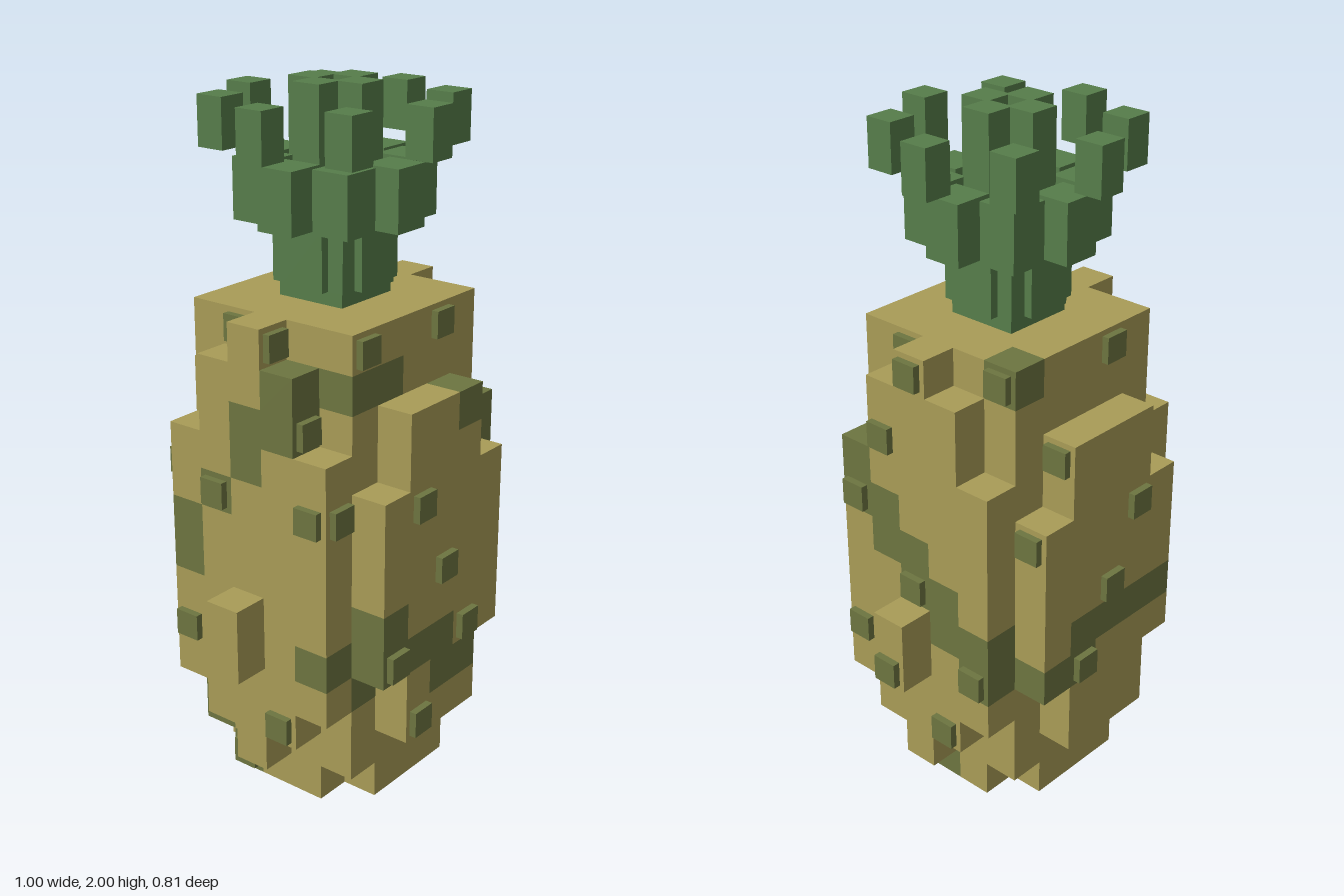
import * as THREE from 'three';
import { mergeGeometries } from 'three/addons/utils/BufferGeometryUtils.js';

const U = 1.418 / 13;            // block size
const CX = -0.01;                // fruit axis
const N = 7, H = 13;

// Rounded block fruit with a short handle on each side
function filled(i, j, k) {
  const a = Math.abs(i - 3), c = Math.abs(k - 3);
  if (j < 0 || j >= H) return false;
  if (a === 4) return c === 0 && (j === 4 || j === 5);
  if (a > 4 || c > 3) return false;
  if (a <= 2 && c <= 2) return !(j === 0 && a === 2 && c === 2);
  if (a === 3) {
    if (c === 0) return j >= 1;
    if (c === 1) return j >= 2 && j <= 11;
    return c === 2 && j >= 3 && j <= 9;
  }
  return a <= 1 ? j >= 2 && j <= 10 : j >= 4 && j <= 8;
}

// Dark blocks [column, row, depth] that form the slanting bands
const DARK = new Set([
  // upper band: front, left side, back, right side
  [0, 11, 4], [0, 10, 4], [1, 11, 5], [2, 11, 5], [4, 10, 6], [5, 9, 5], [6, 9, 5],
  [6, 8, 5], [6, 8, 4], [6, 7, 4], [6, 7, 3], [6, 6, 3], [6, 6, 2], [6, 5, 2], [6, 5, 1], [6, 4, 1],
  [5, 4, 0], [4, 4, 0], [4, 5, 0], [3, 5, 0], [2, 5, 0], [1, 5, 0],
  [0, 6, 1], [0, 7, 1], [0, 8, 2], [0, 9, 3], [0, 10, 3], [5, 12, 1],
  // lower band
  [1, 5, 6], [0, 4, 5], [1, 4, 6], [2, 4, 6], [3, 4, 6], [1, 3, 5], [3, 3, 6], [4, 3, 6],
  [5, 2, 5], [5, 1, 5], [5, 1, 4], [5, 0, 4], [5, 0, 3], [1, 1, 1], [1, 2, 1], [1, 0, 2],
].map(String));

const DIRS = [[1, 0, 0], [-1, 0, 0], [0, 1, 0], [0, -1, 0], [0, 0, 1], [0, 0, -1]];
const cellCentre = (i, j, k) => new THREE.Vector3(CX + (i - 3) * U, (j + 0.5) * U, (k - 3) * U);

// Only the exposed block faces, sorted into skin and bands
function fruitSkins() {
  const skin = [], bands = [];
  for (let i = -1; i <= N; i++) for (let j = 0; j < H; j++) for (let k = 0; k < N; k++) {
    if (!filled(i, j, k)) continue;
    const list = DARK.has(String([i, j, k])) ? bands : skin;
    for (const [dx, dy, dz] of DIRS) {
      if (filled(i + dx, j + dy, k + dz)) continue;
      const face = new THREE.PlaneGeometry(U, U);
      if (dy) face.rotateX(-dy * Math.PI / 2);
      else face.rotateY(dz ? (dz < 0 ? Math.PI : 0) : dx * Math.PI / 2);
      const p = cellCentre(i, j, k);
      face.translate(p.x + dx * U / 2, p.y + dy * U / 2, p.z + dz * U / 2);
      list.push(face);
    }
  }
  return [mergeGeometries(skin), mergeGeometries(bands)];
}

// Small square studs: [column or depth, row] on each side
const STUDS = [
  { dir: [0, 0, 1], at: [[0, 12], [1, 12], [4, 12], [0, 10], [0, 8], [2, 8], [3, 6], [1, 4], [4, 4], [2, 2]] },
  { dir: [0, 0, -1], at: [[2, 12], [2, 8], [3, 6], [4, 4]] },
  { dir: [1, 0, 0], at: [[4, 12], [3, 12], [1, 12], [6, 10], [5, 10], [4, 10], [0, 10], [6, 8], [5, 8], [0, 8],
    [3, 6], [5, 4], [3, 4], [1, 4], [2, 2], [5, 0], [4, 0]] },
  { dir: [-1, 0, 0], at: [[2, 12], [2, 8], [5, 8], [0, 8], [1, 4], [4, 2], [0, 2], [2, 0]] },
];

export function createModel() {
  const skinMat = new THREE.MeshStandardMaterial({ name: 'tan skin', color: 0xa99c57 });
  const darkMat = new THREE.MeshStandardMaterial({ name: 'dark olive', color: 0x6d7540 });
  const leafMat = new THREE.MeshStandardMaterial({ name: 'leaf green', color: 0x567d4a });

  const model = new THREE.Group();
  model.name = 'pineapple';
  const add = (parent, name, geo, mat) => {
    const mesh = new THREE.Mesh(geo, mat);
    mesh.name = name;
    parent.add(mesh);
    return mesh;
  };

  const [skin, bands] = fruitSkins();
  add(model, 'fruitSkin', skin, skinMat);
  add(model, 'fruitBands', bands, darkMat);

  // Studs sit on the outermost block in their line
  const studs = new THREE.Group();
  studs.name = 'studs';
  model.add(studs);
  const OUT = 0.021, S = 0.077;
  for (const { dir: [dx, , dz], at } of STUDS) {
    for (const [s, j] of at) {
      let n = dx + dz > 0 ? N : -1;
      const cell = () => (dx ? [n, j, s] : [s, j, n]);
      while (!filled(...cell())) n -= dx + dz;
      const p = cellCentre(...cell());
      const off = U / 2 + OUT / 2;
      add(studs, 'stud', new THREE.BoxGeometry(dx ? OUT : S, S, dz ? OUT : S), darkMat)
        .position.set(p.x + dx * off, p.y, p.z + dz * off);
    }
  }

  // Crown of blocky leaves
  const crown = new THREE.Group();
  crown.name = 'crown';
  crown.position.x = CX;
  model.add(crown);
  const block = (name, x, z, w, d, y0, y1) =>
    add(crown, name, new THREE.BoxGeometry(w, y1 - y0, d), leafMat).position.set(x, (y0 + y1) / 2, z);

  block('crownStem', 0, 0, 0.215, 0.215, 1.41, 1.47);
  block('crownBase', 0, 0, 0.29, 0.14, 1.46, 1.63);
  block('crownBase', 0, 0, 0.14, 0.29, 1.46, 1.63);
  block('crownBase', 0, 0, 0.24, 0.24, 1.46, 1.63);

  for (let q = 0; q < 4; q++) {
    const c = Math.round(Math.cos(q * Math.PI / 2)), s = Math.round(Math.sin(q * Math.PI / 2));
    const dx = c - s, dz = c + s;  // diagonal direction
    block('outerLeaf', c * 0.194, s * 0.194, 0.115, 0.115, 1.63, 1.8);
    block('diagonalLeaf', dx * 0.136, dz * 0.136, 0.115, 0.115, 1.63, 1.8);
    block('innerLeaf', c * 0.078, s * 0.078, 0.09, 0.09, 1.63, 2.0);
    block('leafTip', c * 0.302, s * 0.302, 0.085, 0.085, 1.826, 1.964);
    block('diagonalTip', dx * 0.213, dz * 0.213, 0.085, 0.085, 1.826, 1.964);
  }
  return model;
}
